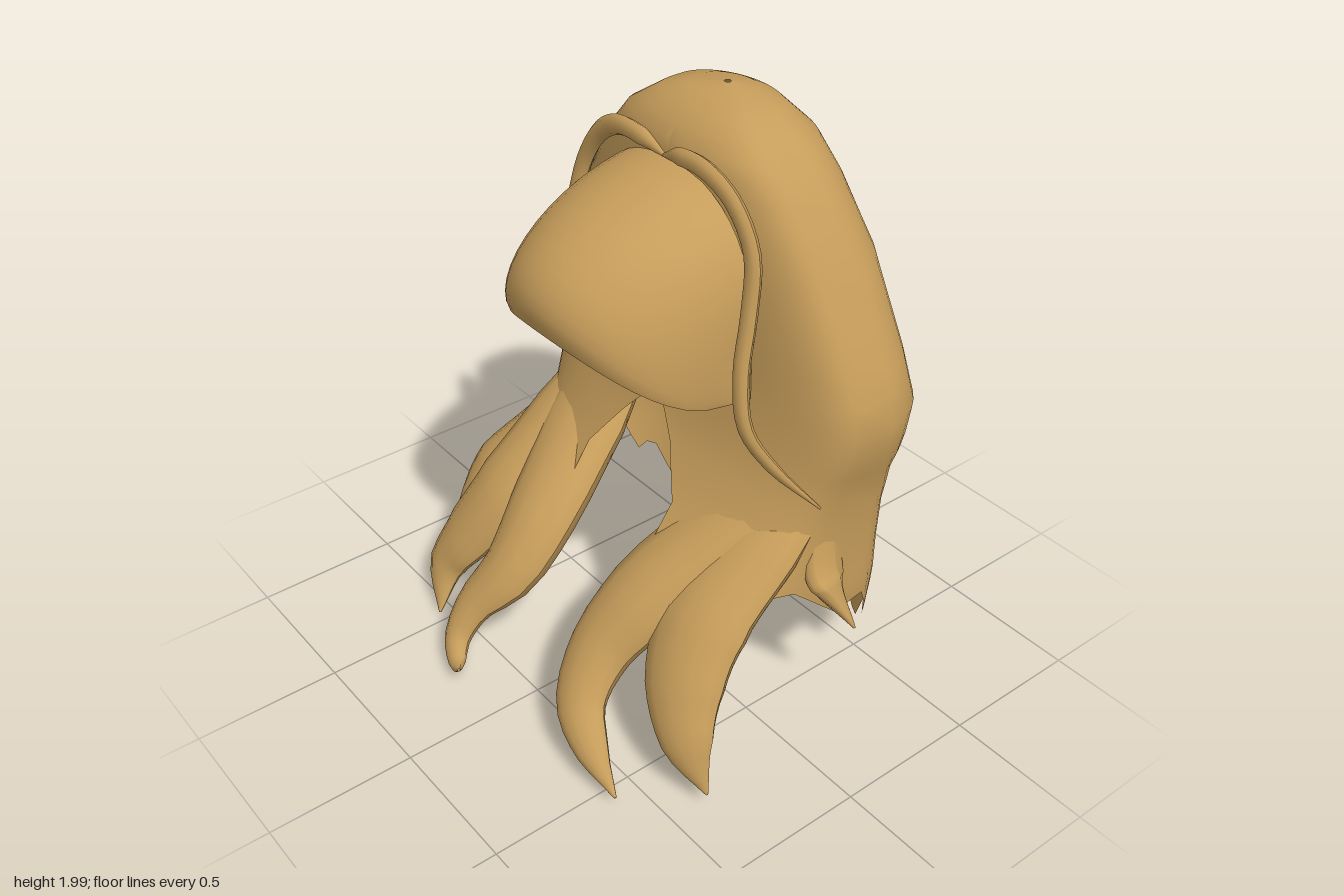
import * as THREE from 'three';

const hair = new THREE.MeshStandardMaterial({ color: 0xc59c5a, side: THREE.DoubleSide });
hair.name = 'honeyHair';

// Reads a table of rows [key, a, b, ...] with linear interpolation
function read(table, key) {
  let i = 0;
  while (i < table.length - 2 && (key - table[i + 1][0]) * (table[1][0] - table[0][0]) > 0) i++;
  const [p, q] = [table[i], table[i + 1]];
  const t = THREE.MathUtils.clamp((key - p[0]) / (q[0] - p[0]), 0, 1);
  return p.slice(1).map((v, k) => v + (q[k + 1] - v) * t);
}

// Skins rows of points into a smooth surface
function skin(name, rows) {
  const n = rows[0].length, index = [];
  for (let r = 0; r < rows.length - 1; r++) {
    for (let c = 0; c < n - 1; c++) {
      const a = r * n + c, b = a + n;
      index.push(a, b, a + 1, a + 1, b, b + 1);
    }
  }
  const g = new THREE.BufferGeometry();
  g.setAttribute('position', new THREE.Float32BufferAttribute(rows.flat(2), 3));
  g.setIndex(index);
  g.computeVertexNormals();
  const mesh = new THREE.Mesh(g, hair);
  mesh.name = name;
  return mesh;
}

// Tapered strand; stations are [x, y, z, halfWidth, halfDepth]
function strand(name, stations, facing, steps = 20, sides = 12) {
  const path = new THREE.CatmullRomCurve3(stations.map(s => new THREE.Vector3(s[0], s[1], s[2])));
  const sizes = stations.map((s, i) => [i / (stations.length - 1), s[3], s[4]]);
  const rows = [];
  for (let i = 0; i <= steps; i++) {
    const t = i / steps, p = path.getPoint(t), tan = path.getTangent(t);
    const [w, d] = read(sizes, t);
    const out = facing.clone().addScaledVector(tan, -facing.dot(tan)).normalize();
    const side = new THREE.Vector3().crossVectors(out, tan);
    const row = [];
    for (let k = 0; k <= sides; k++) {
      const a = k / sides * Math.PI * 2;
      row.push(p.clone().addScaledVector(side, w * Math.cos(a)).addScaledVector(out, d * Math.sin(a)).toArray());
    }
    rows.push(row);
  }
  return skin(name, rows);
}

// Shell cross-sections: height, half width, front z, middle z, back z
const PROFILE = [
  [2.0, 0.01, -0.27, -0.28, -0.29], [1.985, 0.12, -0.19, -0.28, -0.37], [1.96, 0.21, -0.13, -0.28, -0.42],
  [1.88, 0.33, -0.06, -0.29, -0.5], [1.78, 0.42, -0.05, -0.3, -0.54], [1.58, 0.55, -0.05, -0.32, -0.6],
  [1.3, 0.69, -0.05, -0.33, -0.64], [1.14, 0.735, -0.04, -0.33, -0.69], [1.0, 0.71, -0.01, -0.33, -0.7],
  [0.9, 0.675, 0.03, -0.33, -0.68], [0.75, 0.655, 0.11, -0.33, -0.645], [0.6, 0.65, 0.22, -0.33, -0.635],
  [0.45, 0.65, 0.3, -0.33, -0.635], [0.05, 0.6, 0.3, -0.33, -0.62],
];
// Half width of the opening below the face
const GAP = [[1.04, 0], [0.9, 0.12], [0.75, 0.22], [0.6, 0.22]];
// Hem height against degrees around from the front
const HEM = [[0, 0.54], [76, 0.57], [82, 0.56], [88, 0.42], [96, 0.38], [108, 0.31], [122, 0.22], [136, 0.12], [180, 0.09]];

function shellPoint(y, angle, scale = 1) {
  const [w, front, mid, back] = read(PROFILE, y);
  const c = Math.cos(angle);
  const z = c > 0 ? mid + (front - mid) * Math.pow(c, 0.45) : mid - (back - mid) * c;
  return [w * Math.sin(angle) * scale, y, mid + (z - mid) * scale];
}

// Crown, sides and back: each row runs from the front opening round the back
function shell() {
  const half = 30, lower = 5, rows = [];
  const heights = [2.0, 1.985, 1.96, 1.92, 1.88, 1.83, 1.78, 1.68, 1.58, 1.44, 1.3, 1.22, 1.14, 1.04, 0.97, 0.9, 0.82, 0.75, 0.67, 0.6];
  for (let r = 0; r < heights.length + lower; r++) {
    const top = heights[Math.min(r, heights.length - 1)];
    const k = Math.max(0, r - heights.length + 1) / lower;
    const start = Math.asin(Math.min(1, read(GAP, top)[0] / read(PROFILE, top)[0]));
    const row = [];
    for (let i = -half; i <= half; i++) {
      const angle = start + (Math.PI - start) * (1 - Math.abs(i) / half), deg = angle * 180 / Math.PI;
      const jag = deg > 84 ? [0.035, -0.015, -0.05, 0.01][(i + 60) % 4] : 0;
      const p = shellPoint(THREE.MathUtils.lerp(top, read(HEM, deg)[0] + jag, k), angle);
      if (i < 0) p[0] *= -1;
      row.push(p);
    }
    rows.push(row);
  }
  return skin('hairShell', rows);
}

// Swept-up fringe over the forehead, with its flat underside
function fringe() {
  const group = new THREE.Group(), n = 24, m = 12, rows = [];
  group.name = 'fringe';
  for (let j = 0; j <= m; j++) {
    const row = [];
    for (let i = 0; i <= n; i++) {
      const a = (i / n - 0.5) * Math.PI, s = Math.sin(a), c = Math.max(0, Math.cos(a));
      const f = Math.pow(c, 0.7);
      const root = new THREE.Vector3(0.395 * s, 1.17 + 0.65 * Math.sqrt(c), -0.06);
      const rim = new THREE.Vector3(0.385 * s, 1.17 + 0.24 * Math.pow(c, 1.3), 0.44 * f);
      const c1 = new THREE.Vector3(0.4 * s, root.y - 0.08 * c, 0.3 * f);
      const c2 = new THREE.Vector3(0.39 * s, rim.y + 0.17 * c, 0.52 * f);
      row.push(new THREE.CubicBezierCurve3(root, c1, c2, rim).getPoint(j / m).toArray());
    }
    rows.push(row);
  }
  group.add(skin('fringeTop', rows));
  const edge = [[-0.395, 1.17, -0.07], ...rows[m], [0.395, 1.17, -0.07]];
  group.add(skin('fringeUnderside', [edge, edge.map(() => [0.01, 1.04, -0.02])]));
  return group;
}

// Slanting lining from the face opening to the inside of the back
function lining() {
  const arc = [];
  for (let d = 80; d <= 280; d += 10) {
    const a = d * Math.PI / 180;
    arc.push(shellPoint(0.51 + 0.25 * Math.abs(Math.sin(a)), a, 0.98));
  }
  return skin('innerLining', [arc.map(() => [0.01, 1.04, -0.02]), arc]);
}

export function createModel() {
  const model = new THREE.Group();
  model.name = 'hair';
  model.add(shell(), fringe(), lining());

  // Rolled hairline on each side
  const roll = [
    [0, 1.83, -0.04, 0.006, 0.006], [0.09, 1.86, -0.03, 0.03, 0.022], [0.2, 1.86, -0.03, 0.033, 0.022],
    [0.31, 1.8, -0.04, 0.033, 0.022], [0.4, 1.67, -0.04, 0.031, 0.022], [0.43, 1.5, -0.01, 0.03, 0.022],
    [0.455, 1.32, 0.035, 0.03, 0.022], [0.5, 1.16, 0.05, 0.03, 0.02], [0.58, 1.05, 0.01, 0.025, 0.016],
    [0.72, 0.95, -0.06, 0.004, 0.004],
  ];
  const front = new THREE.Vector3(0, 0, 1);
  for (const s of [1, -1]) {
    const stations = roll.map(([x, ...rest]) => [x * s, ...rest]);
    model.add(strand(s > 0 ? 'leftHairline' : 'rightHairline', stations, front, 36, 8));
  }

  // Long locks sweeping forward, rooted behind the front of the shell
  const locks = {
    leftInnerLock: [[0.42, 0.95, -0.22, 0.14, 0.05], [0.39, 0.72, -0.01, 0.17, 0.09], [0.29, 0.5, 0.25, 0.15, 0.1],
      [0.25, 0.33, 0.41, 0.115, 0.085], [0.3, 0.2, 0.53, 0.09, 0.06], [0.42, 0.12, 0.58, 0.06, 0.045], [0.57, 0.04, 0.6, 0.004, 0.004]],
    leftOuterLock: [[0.5, 0.9, -0.25, 0.12, 0.05], [0.5, 0.7, -0.03, 0.15, 0.09], [0.5, 0.5, 0.2, 0.17, 0.1],
      [0.56, 0.34, 0.32, 0.14, 0.085], [0.65, 0.2, 0.38, 0.09, 0.055], [0.75, 0.06, 0.38, 0.004, 0.004]],
    rightInnerLock: [[-0.42, 0.95, -0.22, 0.14, 0.05], [-0.38, 0.72, -0.01, 0.17, 0.09], [-0.28, 0.5, 0.25, 0.14, 0.1],
      [-0.26, 0.33, 0.41, 0.115, 0.085], [-0.31, 0.2, 0.54, 0.075, 0.05], [-0.3, 0.1, 0.62, 0.05, 0.04],
      [-0.23, 0.06, 0.67, 0.03, 0.025], [-0.17, 0.09, 0.7, 0.004, 0.004]],
    rightMiddleLock: [[-0.48, 0.9, -0.25, 0.12, 0.05], [-0.48, 0.68, 0.0, 0.15, 0.09], [-0.5, 0.46, 0.24, 0.15, 0.1],
      [-0.57, 0.28, 0.38, 0.12, 0.07], [-0.61, 0.15, 0.46, 0.085, 0.05], [-0.54, 0.01, 0.55, 0.004, 0.004]],
    rightOuterLock: [[-0.53, 0.85, -0.25, 0.08, 0.05], [-0.56, 0.62, 0.0, 0.1, 0.09], [-0.65, 0.43, 0.18, 0.12, 0.09],
      [-0.68, 0.3, 0.28, 0.09, 0.06], [-0.76, 0.17, 0.36, 0.004, 0.004]],
    leftSideTuft: [[0.6, 0.75, -0.2, 0.04, 0.08], [0.65, 0.57, -0.18, 0.05, 0.1], [0.77, 0.44, -0.2, 0.004, 0.004]],
  };
  const upForward = new THREE.Vector3(0, 0.77, 0.64);
  for (const [name, stations] of Object.entries(locks)) model.add(strand(name, stations, upForward));
  return model;
}
